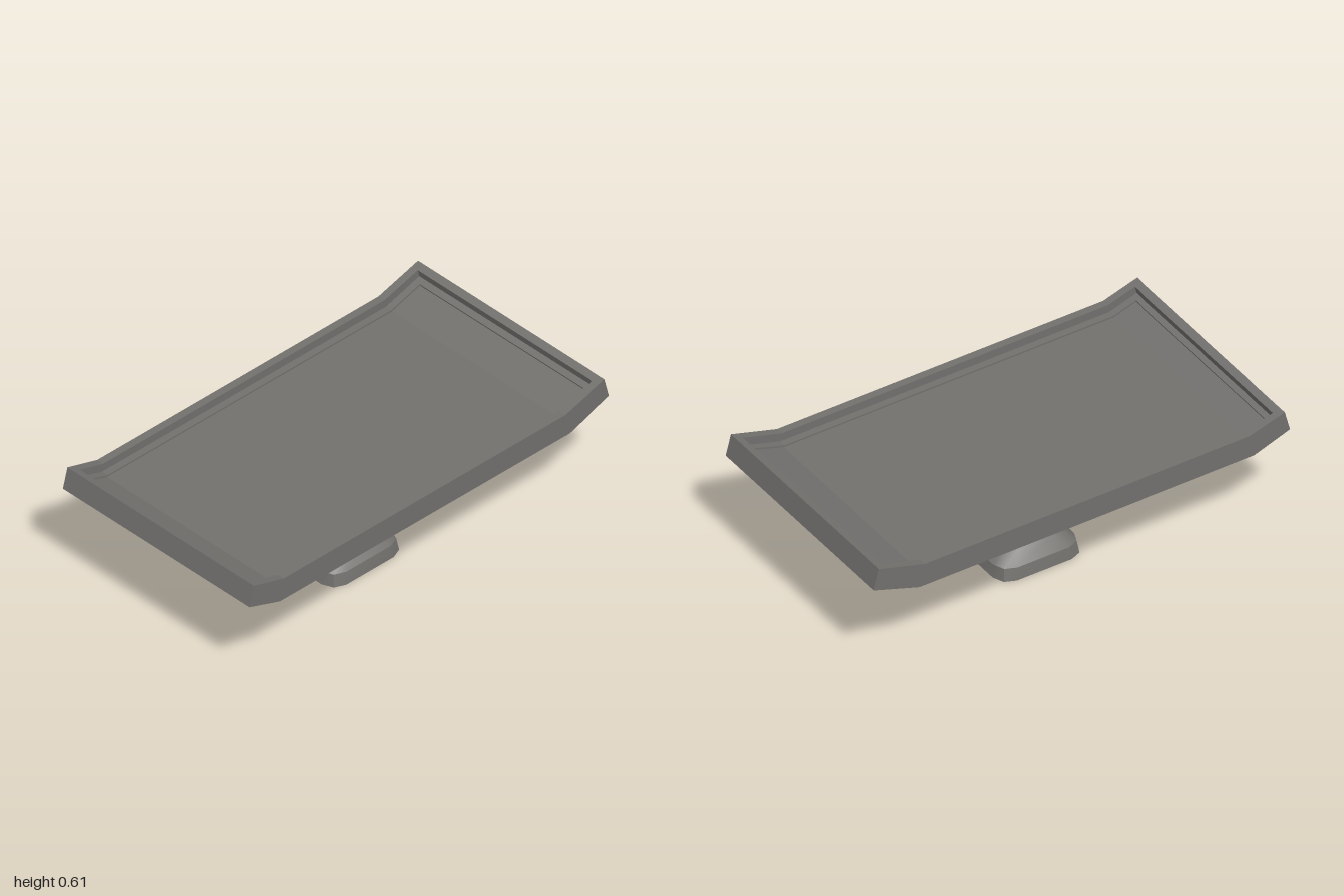
import * as THREE from 'three';
import { toCreasedNormals } from 'three/addons/utils/BufferGeometryUtils.js';

// Upturned tray section: matching points along the upper and lower edges
const TOP = [[-0.975, 0.6], [-0.81, 0.55], [0.755, 0.548], [0.975, 0.612]];
const BOTTOM = [[-1, 0.505], [-0.83, 0.445], [0.78, 0.442], [1, 0.515]];
const HALF_DEPTH = 0.542;

const mix = (a, b, t) => [a[0] + (b[0] - a[0]) * t, a[1] + (b[1] - a[1]) * t];

// Point in the section: u runs 0..3 along the folds, t runs 0..1 from top to bottom
function sectionPoint(u, t) {
  const i = Math.min(2, Math.floor(u));
  const at = (k) => mix(TOP[k], BOTTOM[k], t);
  return mix(at(i), at(i + 1), u - i);
}

// Slice of the tray section, extruded between two z positions
function traySlice(name, material, [u0, u1], [t0, t1], [z0, z1]) {
  const us = [u0, ...[1, 2].filter((u) => u > u0 && u < u1), u1];
  const outline = [
    ...us.map((u) => sectionPoint(u, t1)),
    ...us.reverse().map((u) => sectionPoint(u, t0)),
  ];
  const shape = new THREE.Shape(outline.map(([x, y]) => new THREE.Vector2(x, y)));
  const geometry = new THREE.ExtrudeGeometry(shape, { depth: z1 - z0, bevelEnabled: false });
  geometry.translate(0, 0, z0);
  const mesh = new THREE.Mesh(geometry, material);
  mesh.name = name;
  return mesh;
}

// Raised frame around the tray, made of two long strips and two end strips
function trayFrame(name, material, ts, uOuter, uInner, zOuter, zInner) {
  const frame = new THREE.Group();
  frame.name = name;
  frame.add(
    traySlice(name + 'Front', material, uOuter, ts, [zInner, zOuter]),
    traySlice(name + 'Back', material, uOuter, ts, [-zOuter, -zInner]),
    traySlice(name + 'Right', material, [uOuter[0], uInner[0]], ts, [-zInner, zInner]),
    traySlice(name + 'Left', material, [uInner[1], uOuter[1]], ts, [-zInner, zInner]),
  );
  return frame;
}

// Rounded rectangle ring with two facets per corner
function ring(y, hx, hz, r) {
  const points = [];
  for (let corner = 0; corner < 4; corner++) {
    const sx = corner === 0 || corner === 3 ? 1 : -1;
    const sz = corner < 2 ? 1 : -1;
    for (let k = 0; k < 3; k++) {
      const a = (corner + k / 2) * Math.PI / 2;
      points.push([sx * (hx - r) + r * Math.cos(a), y, sz * (hz - r) + r * Math.sin(a)]);
    }
  }
  return points;
}

// Hollow pedestal lofted through the rings, open below
function pedestalGeometry() {
  const rings = [
    ring(0, 0.202, 0.225, 0.07),
    ring(0.056, 0.194, 0.216, 0.07),
    ring(0.106, 0.146, 0.164, 0.065),
    ring(0.25, 0.14, 0.157, 0.063),
    ring(0.436, 0.093, 0.104, 0.06),
  ];
  const n = rings[0].length;
  const index = [];
  for (let j = 0; j < rings.length - 1; j++) {
    for (let i = 0; i < n; i++) {
      const a = j * n + i;
      const b = j * n + (i + 1) % n;
      index.push(a, a + n, b, b, a + n, b + n);
    }
  }
  const last = (rings.length - 1) * n;
  for (let i = 1; i < n - 1; i++) index.push(last, last + i + 1, last + i);
  const geometry = new THREE.BufferGeometry();
  geometry.setAttribute('position', new THREE.Float32BufferAttribute(rings.flat(2), 3));
  geometry.setIndex(index);
  return toCreasedNormals(geometry, 0.55);
}

export function createModel() {
  const grey = new THREE.MeshStandardMaterial({ color: 0x73716e, side: THREE.DoubleSide });
  grey.name = 'warm grey';

  const model = new THREE.Group();
  model.name = 'trayTable';

  // Tray: floor slab, low inner ledge and outer rim
  const tray = new THREE.Group();
  tray.name = 'tray';
  tray.add(
    traySlice('trayFloor', grey, [0, 3], [0.42, 1], [-HALF_DEPTH, HALF_DEPTH]),
    trayFrame('ledge', grey, [0.35, 0.42], [0, 3], [0.36, 2.71], HALF_DEPTH, 0.475),
    trayFrame('rim', grey, [0, 0.35], [0, 3], [0.21, 2.84], HALF_DEPTH, 0.507),
  );
  model.add(tray);

  // Pedestal, slightly off the tray centre
  const pedestal = new THREE.Mesh(pedestalGeometry(), grey);
  pedestal.name = 'pedestal';
  pedestal.position.set(-0.028, 0, 0.002);
  model.add(pedestal);

  return model;
}
